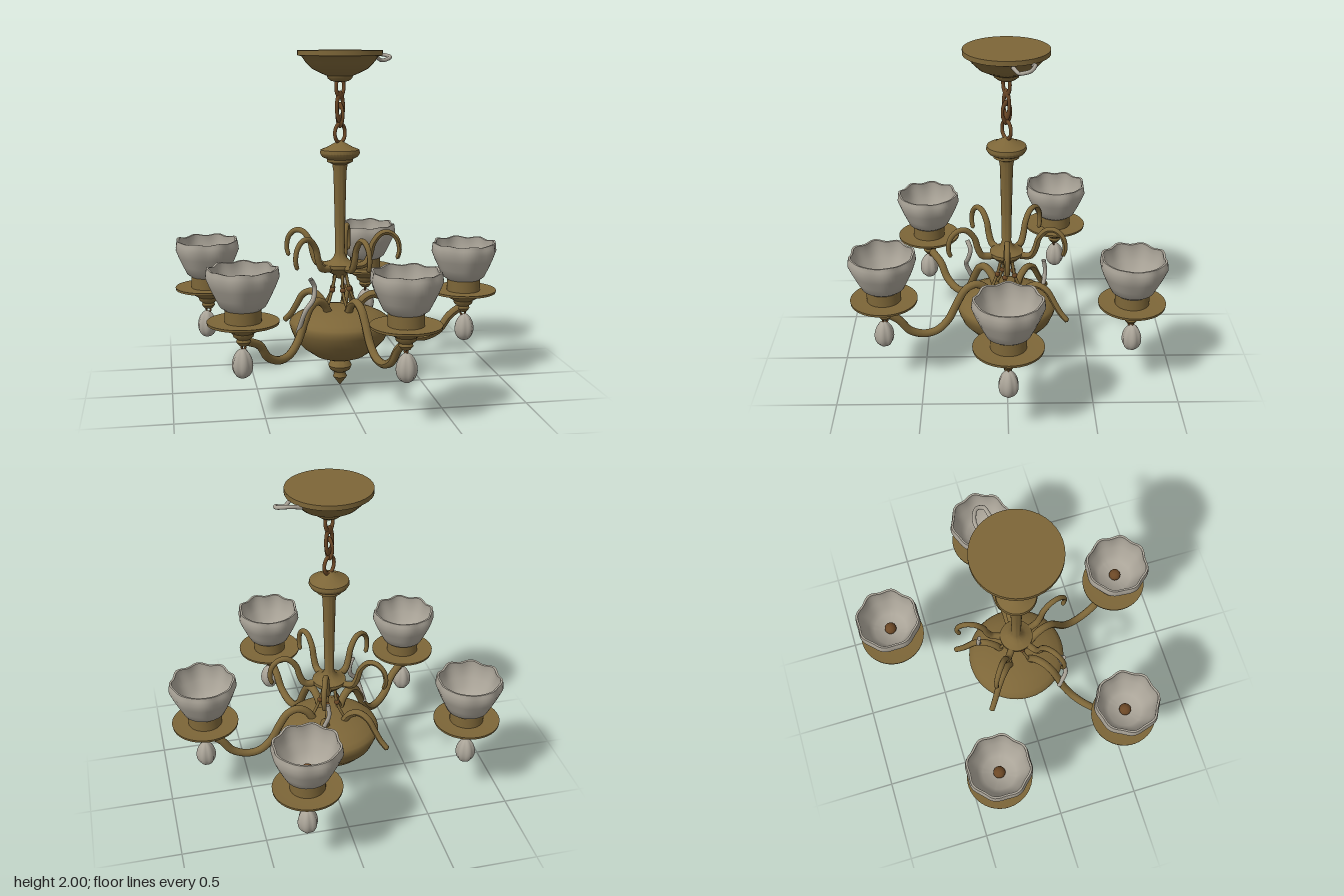
import * as THREE from 'three';
import { toCreasedNormals } from 'three/addons/utils/BufferGeometryUtils.js';

const bronze = new THREE.MeshStandardMaterial({ color: 0x7d6638, side: THREE.DoubleSide });
bronze.name = 'bronze';
const brown = new THREE.MeshStandardMaterial({ color: 0x6c4826 });
brown.name = 'dark brown';
const glass = new THREE.MeshStandardMaterial({ color: 0xaaa498, side: THREE.DoubleSide });
glass.name = 'grey glass';

function add(parent, name, geometry, material, x = 0, y = 0, z = 0) {
  const mesh = new THREE.Mesh(geometry, material);
  mesh.name = name;
  mesh.position.set(x, y, z);
  parent.add(mesh);
  return mesh;
}

// Turned part from [radius, height] pairs, listed bottom to top
function turned(profile, segments = 40) {
  const points = profile.map(([r, y]) => new THREE.Vector2(r, y));
  return toCreasedNormals(new THREE.LatheGeometry(points, segments), 0.75);
}

// Round rod along a smooth curve
function rod(points, radius, segments = 40) {
  const curve = new THREE.CatmullRomCurve3(points.map((p) => new THREE.Vector3(...p)));
  return new THREE.TubeGeometry(curve, segments, radius, 10);
}

// Rod in the radial plane, tapering to its tip, with a rounded end
function radialRod(profile, radius, tip = 1) {
  const segments = 44;
  const geo = rod(profile.map(([r, y]) => [r, y, 0]), radius, segments);
  const curve = geo.parameters.path;
  const p = geo.attributes.position;
  for (let i = 0; i < p.count; i++) {
    const t = Math.floor(i / 11) / segments;
    const c = curve.getPointAt(t);
    let s = 1 + (tip - 1) * t;
    if (t === 1) s = 0.02;
    const v = new THREE.Vector3().fromBufferAttribute(p, i).sub(c).multiplyScalar(s).add(c);
    p.setXYZ(i, v.x, v.y, v.z);
  }
  geo.computeVertexNormals();
  return geo;
}

// Fluted glass bowl with a wavy rim, open at the top
function shadeGeometry() {
  const profile = [[0.03, 0.635], [0.1, 0.632], [0.125, 0.65], [0.15, 0.7], [0.175, 0.755], [0.194, 0.805],
    [0.19, 0.835], [0.186, 0.857], [0.174, 0.855], [0.176, 0.81], [0.155, 0.755], [0.13, 0.705], [0.1, 0.665], [0, 0.65]];
  const geo = new THREE.LatheGeometry(profile.map(([r, y]) => new THREE.Vector2(r, y)), 64);
  const p = geo.attributes.position;
  for (let i = 0; i < p.count; i++) {
    const x = p.getX(i), y = p.getY(i), z = p.getZ(i);
    const t = Math.max(0, (y - 0.64) / 0.22);
    const wave = Math.cos(8 * Math.atan2(z, x));
    const s = 1 + 0.035 * wave * t;
    p.setXYZ(i, x * s, y + 0.005 * wave * t * t, z * s);
  }
  geo.computeVertexNormals();
  return toCreasedNormals(geo, 0.9);
}

// Lobed pendant drop
function dropGeometry() {
  const geo = new THREE.SphereGeometry(1, 36, 18);
  const p = geo.attributes.position;
  for (let i = 0; i < p.count; i++) {
    const x = p.getX(i), y = p.getY(i), z = p.getZ(i);
    const s = 0.057 * (1 - 0.13 * y) * (0.9 + 0.1 * Math.abs(Math.cos(3 * Math.atan2(z, x))) * 1.3);
    p.setXYZ(i, x * s, y * 0.083, z * s);
  }
  geo.computeVertexNormals();
  return geo;
}

function createLamp(geo) {
  const lamp = new THREE.Group();
  lamp.name = 'lamp';
  add(lamp, 'lampDish', geo.dish, bronze);
  add(lamp, 'lampShade', geo.shade, glass);
  add(lamp, 'lampKnob', geo.knob, brown, 0, 0.68, 0);
  add(lamp, 'dropLink', geo.link, brown, 0, 0.42, 0);
  add(lamp, 'crystalDrop', geo.drop, glass, 0.01, 0.33, 0);
  return lamp;
}

export function createModel() {
  const model = new THREE.Group();
  model.name = 'chandelier';

  // Ceiling canopy
  add(model, 'canopy', turned([[0, 1.82], [0.05, 1.825], [0.07, 1.84], [0.075, 1.855], [0.11, 1.87], [0.16, 1.895],
    [0.2, 1.935], [0.22, 1.965], [0.245, 1.972], [0.245, 2], [0, 2]]), bronze);

  // Chain links, alternately turned
  const links = [[1.795, 0.032, 1.75, 0], [1.675, 0.027, 2.6, 0], [1.525, 0.042, 1.3, 0]];
  for (const [y, r, stretch, turn] of links) {
    const link = add(model, 'chainLink', new THREE.TorusGeometry(r, 0.01, 10, 28), brown, 0, y, 0);
    link.scale.set(1, stretch, 1.1);
    link.rotation.y = turn + Math.PI / 5;
  }
  const middle = add(model, 'chainLink', new THREE.TorusGeometry(0.027, 0.009, 10, 28), brown, 0, 1.63, 0);
  middle.scale.set(1, 2.1, 1);
  middle.rotation.y = -Math.PI / 3;

  // Stem with its cap and hub
  add(model, 'stem', turned([[0, 0.66], [0.03, 0.67], [0.04, 0.69], [0.07, 0.705], [0.1, 0.735], [0.1, 0.755],
    [0.06, 0.77], [0.04, 0.79], [0.028, 0.82], [0.032, 1.05], [0.038, 1.3], [0.045, 1.345], [0.075, 1.36],
    [0.075, 1.375], [0.105, 1.39], [0.117, 1.41], [0.113, 1.43], [0.075, 1.445], [0.04, 1.465], [0, 1.485]]), bronze);

  // Bowl and bottom finial
  add(model, 'bowl', turned([[0, 0.165], [0.07, 0.17], [0.15, 0.2], [0.22, 0.25], [0.27, 0.305], [0.293, 0.36],
    [0.303, 0.395], [0.295, 0.415], [0.27, 0.435], [0.21, 0.465], [0.12, 0.485], [0, 0.495]], 48), bronze);
  add(model, 'finial', turned([[0, 0.005], [0.02, 0.03], [0.042, 0.06], [0.035, 0.075], [0.035, 0.09], [0.06, 0.105],
    [0.07, 0.13], [0.06, 0.15], [0.05, 0.165], [0.075, 0.18]]), bronze);
  const tear = add(model, 'bowlDrop', new THREE.SphereGeometry(1, 14, 10), brown, 0.235, 0.27, -0.1);
  tear.scale.set(0.022, 0.04, 0.022);

  // Scrolls, short curls and thin struts around the stem
  const scroll = radialRod([[0.07, 0.735], [0.15, 0.745], [0.18, 0.8], [0.2, 0.87], [0.25, 0.927], [0.3, 0.93],
    [0.345, 0.89], [0.36, 0.82], [0.345, 0.765]], 0.022, 0.6);
  const strut = rod([[0.035, 0.7, 0], [0.05, 0.62, 0.01], [0.075, 0.55, 0.01], [0.12, 0.47, 0]], 0.009, 20);
  const bead = new THREE.SphereGeometry(0.017, 12, 8);
  for (let i = 0; i < 5; i++) {
    const spoke = new THREE.Group();
    spoke.name = 'spoke';
    spoke.rotation.y = -i * Math.PI * 0.4;
    add(spoke, 'scroll', scroll, bronze);
    add(spoke, 'strut', strut, bronze);
    add(spoke, 'strutBead', bead, brown, 0.054, 0.6, 0.01);
    model.add(spoke);
  }

  // Lamps on their arms; the two back arms are broken off short
  const lampParts = {
    dish: turned([[0, 0.425], [0.025, 0.43], [0.04, 0.45], [0.035, 0.465], [0.055, 0.48], [0.06, 0.5], [0.085, 0.515],
      [0.1, 0.535], [0.15, 0.545], [0.195, 0.553], [0.197, 0.567], [0.15, 0.563], [0.1, 0.563], [0.1, 0.64], [0, 0.64]]),
    shade: shadeGeometry(),
    knob: new THREE.SphereGeometry(0.036, 20, 14),
    link: new THREE.TorusGeometry(0.014, 0.006, 8, 16),
    drop: dropGeometry(),
  };
  const root = [[0.1, 0.47], [0.14, 0.53], [0.2, 0.56], [0.26, 0.535], [0.31, 0.46]];
  const stub = radialRod([...root, [0.35, 0.4], [0.4, 0.35]], 0.023, 0.75);
  const places = [[0.76, 0, 0], [0.235, 0.72, 0], [-0.615, 0.5, 0], [-0.765, -0.335, 220], [0.295, -0.725, -67]];
  for (const [x, z, brokenAngle] of places) {
    const lamp = createLamp(lampParts);
    lamp.position.set(x, 0, z);
    lamp.rotation.y = -Math.atan2(z, x);
    model.add(lamp);
    if (brokenAngle) {
      add(model, 'brokenArm', stub, bronze).rotation.y = -THREE.MathUtils.degToRad(brokenAngle);
    } else {
      const r = Math.hypot(x, z);
      const arm = radialRod([...root, [0.37, 0.35], [0.44, 0.29], [0.52, 0.28], [0.61, 0.32],
        [0.67, 0.4], [r - 0.04, 0.44], [r, 0.46]], 0.024);
      add(model, 'arm', arm, bronze).rotation.y = -Math.atan2(z, x);
    }
  }

  // Loose grey ribbons near the bowl and at the canopy rim
  add(model, 'ribbon', rod([[-0.21, 0.72, 0.24], [-0.185, 0.67, 0.22], [-0.195, 0.6, 0.235], [-0.24, 0.54, 0.25],
    [-0.28, 0.4, 0.2]], 0.014, 24), glass);
  add(model, 'ribbon', rod([[0.06, 0.72, -0.22], [0.055, 0.65, -0.23], [0.08, 0.57, -0.22]], 0.013, 16), glass);
  add(model, 'canopyRibbon', rod([[0.18, 1.96, -0.14], [0.24, 1.975, -0.15], [0.31, 1.965, -0.12], [0.31, 1.955, -0.08],
    [0.26, 1.94, -0.06], [0.22, 1.96, -0.03]], 0.011, 24), glass);

  return model;
}
